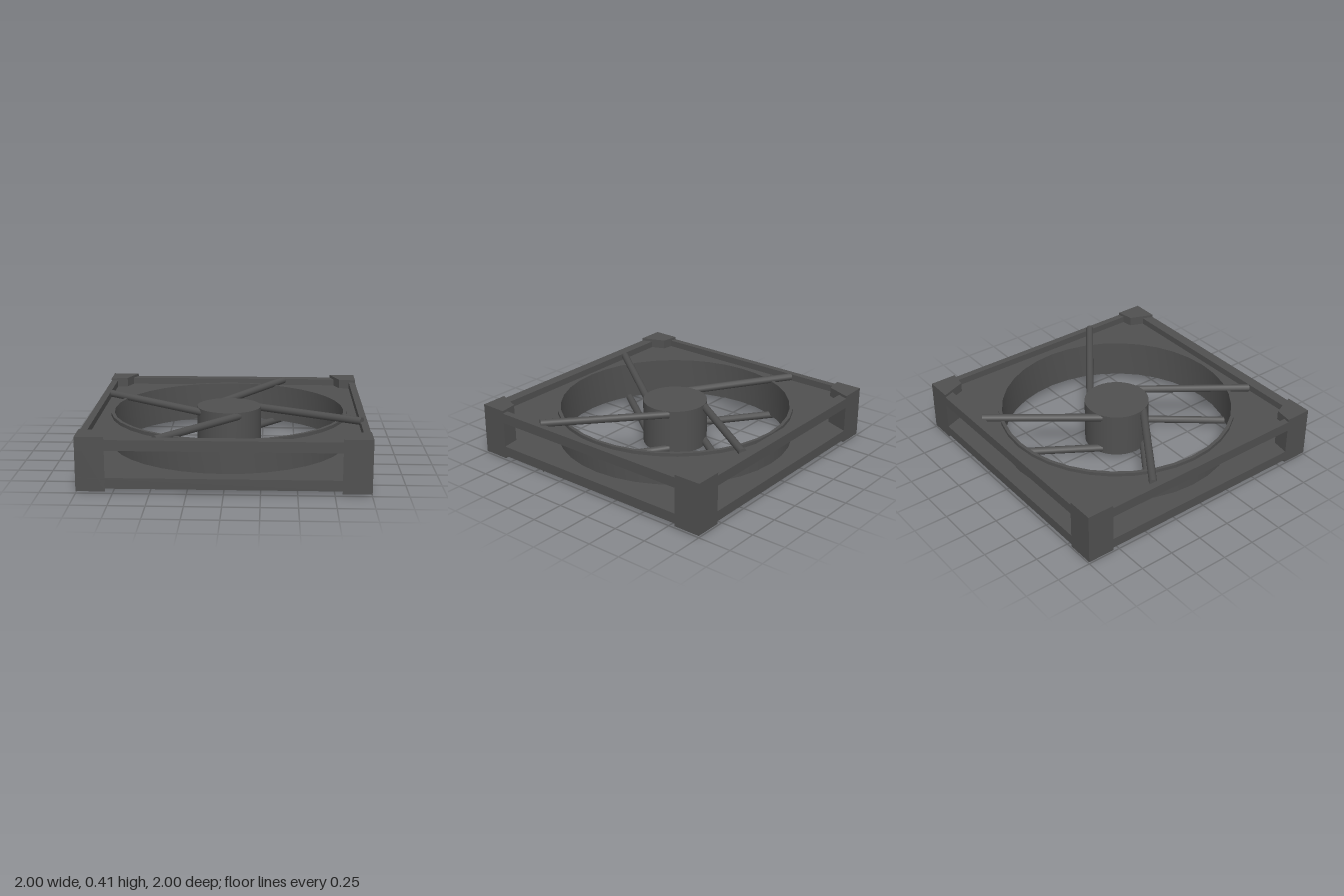
import * as THREE from 'three';
import { toCreasedNormals } from 'three/addons/utils/BufferGeometryUtils.js';

const MID = 0.21; // height of the mirror plane between upper and lower halves

const polygon = (pts, Type = THREE.Shape) => new Type(pts.map(([x, y]) => new THREE.Vector2(x, y)));
const rect = (w, d) => [[-w, -d], [w, -d], [w, d], [-w, d]];
const circle = (r, n) => Array.from({ length: n }, (_, i) => {
  const a = (i / n) * Math.PI * 2;
  return [r * Math.cos(a), r * Math.sin(a)];
});

// Horizontal slab between two heights, with an optional hole
function slab(outline, hole, y0, y1) {
  const shape = polygon(outline);
  if (hole) shape.holes.push(polygon(hole, THREE.Path));
  const geo = new THREE.ExtrudeGeometry(shape, { depth: y1 - y0, bevelEnabled: false });
  return geo.rotateX(-Math.PI / 2).translate(0, y0, 0);
}

export function createModel() {
  const group = new THREE.Group();
  const material = new THREE.MeshStandardMaterial({ color: 0x505050 });
  const add = (name, geo) => {
    const mesh = new THREE.Mesh(geo, material);
    mesh.name = name;
    group.add(mesh);
    return mesh;
  };

  // Edge rails and recessed plates, upper and lower
  const half = [['upper', 0.305, 0.38, 0.305, 0.33], ['lower', 0.04, 0.115, 0.09, 0.115]];
  for (const [side, r0, r1, p0, p1] of half) {
    add(side + 'Rails', slab(rect(1, 1), rect(0.95, 0.92), r0, r1));
    add(side + 'Plate', slab(rect(0.95, 0.92), circle(0.87, 36), p0, p1));
  }

  // Corner posts, slightly taller than the rails
  const corner = [[1, 1], [0.8, 1], [0.87, 0.82], [1, 0.8]];
  for (const sx of [-1, 1]) {
    for (const sz of [-1, 1]) {
      add('cornerPost', slab(corner.map(([x, z]) => [x * sx, z * sz]), null, 0.02, 0.4));
    }
  }

  // Round duct
  const profile = [[0.88, 0.065], [0.88, 0.355], [0.855, 0.355], [0.855, 0.065], [0.88, 0.065]];
  const duct = new THREE.LatheGeometry(profile.map(([r, y]) => new THREE.Vector2(r, y)), 36);
  add('duct', toCreasedNormals(duct, 0.6));

  // Motor hub
  add('hub', new THREE.CylinderGeometry(0.24, 0.24, 0.335, 36)).position.y = MID;

  // Struts from hub to frame, above and below: start x, z, end x, end height, z
  const struts = [
    [0.2, -0.1, 0.96, 0.386, 0.46],
    [-0.09, -0.2, 0.415, 0.372, -0.92],
    [-0.18, 0.11, -0.94, 0.365, -0.415],
    [0.08, 0.2, -0.47, 0.362, 0.91],
  ];
  for (const [x0, z0, x1, y1, z1] of struts) {
    for (const s of [1, -1]) {
      const a = new THREE.Vector3(x0, MID + s * 0.137, z0);
      const b = new THREE.Vector3(x1, MID + s * (y1 - MID), z1);
      const dir = b.clone().sub(a);
      const strut = add(s > 0 ? 'upperStrut' : 'lowerStrut',
        new THREE.CylinderGeometry(0.028, 0.028, dir.length(), 12));
      strut.position.copy(a).add(b).multiplyScalar(0.5);
      strut.quaternion.setFromUnitVectors(new THREE.Vector3(0, 1, 0), dir.normalize());
    }
  }
  return group;
}
